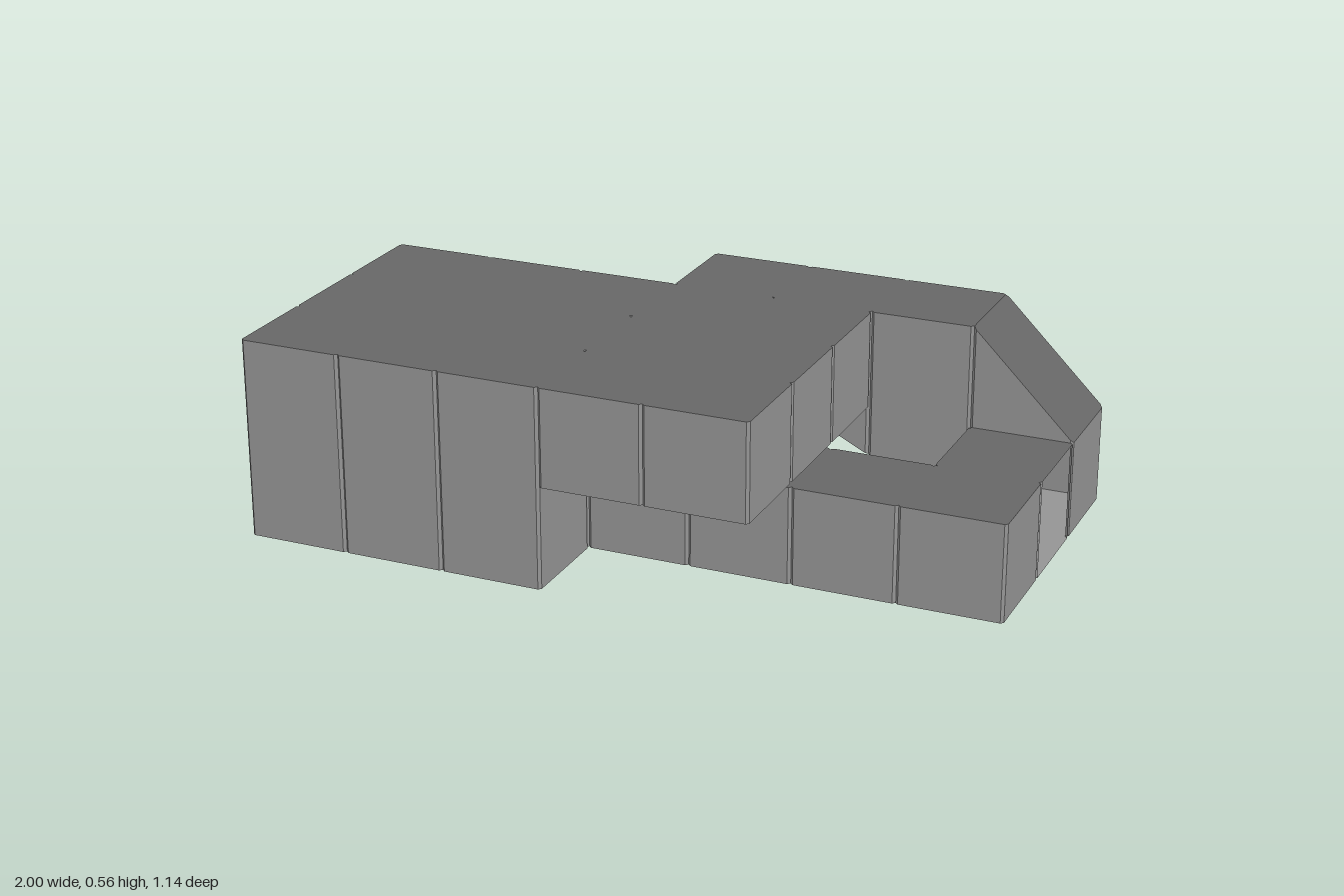
import * as THREE from 'three';

const CELL = 2 / 7, CUT = 0.0075;      // grid pitch, corner groove size
const LOW = 0.27, MID = 0.285, TOP = 0.555;
const gx = i => -1 + i * CELL;
const gz = j => (j - 2) * CELL;
const flat = y => () => y;

// Room types: bottom and top height as a function of x
const TYPES = {
  tall: { bot: flat(0), top: flat(TOP) },
  upper: { bot: flat(MID), top: flat(TOP) },
  lower: { bot: flat(0), top: flat(LOW) },
  ramp: { bot: x => MID * (gx(6) - x) / (2 * CELL), top: flat(TOP) },
  slope: { bot: flat(0), top: x => TOP - (TOP - LOW) * (x - gx(6)) / CELL },
};

// Room layout: type, columns from-to, rows from-to (row 0 at the back)
const LAYOUT = [
  ['tall', 0, 2, 1, 3],
  ['lower', 3, 6, 2, 2],
  ['lower', 6, 6, 1, 1],
  ['upper', 3, 4, 1, 3],
  ['upper', 3, 3, 0, 0],
  ['ramp', 4, 5, 0, 0],
  ['slope', 6, 6, 0, 0],
];
const SIDES = [[0, 1], [1, 0], [0, -1], [-1, 0]]; // +z, +x, -z, -x
const isDoorway = (r, s) => r.type === 'lower' && r.i === 6 && r.j === 1 && s === 1;

// Collects flat convex faces into one geometry
function faceList() {
  const pos = [];
  return {
    add(pts) {
      for (let k = 1; k < pts.length - 1; k++) {
        const t = new THREE.Triangle(pts[0], pts[k], pts[k + 1]);
        if (t.getArea() > 1e-7) for (const p of [t.a, t.b, t.c]) pos.push(p.x, p.y, p.z);
      }
    },
    mesh(name, material) {
      const g = new THREE.BufferGeometry();
      g.setAttribute('position', new THREE.Float32BufferAttribute(pos, 3));
      g.computeVertexNormals();
      const m = new THREE.Mesh(g, material);
      m.name = name;
      return m;
    },
  };
}

// Cell corners, anticlockwise from above, with the chosen corners cut off
function outline(i, j, cut) {
  const c = [[gx(i), gz(j + 1)], [gx(i + 1), gz(j + 1)], [gx(i + 1), gz(j)], [gx(i), gz(j)]];
  const toward = (a, b, d) => [a[0] + Math.sign(b[0] - a[0]) * d, a[1] + Math.sign(b[1] - a[1]) * d];
  return c.map((p, k) => {
    const d = cut[k] ? CUT : 0;
    return { before: toward(p, c[(k + 3) % 4], d), after: toward(p, c[(k + 1) % 4], d) };
  });
}

export function createModel() {
  const wallPaint = new THREE.MeshStandardMaterial({ color: 0x949494, side: THREE.DoubleSide });
  wallPaint.name = 'wall grey';
  const roofPaint = new THREE.MeshStandardMaterial({ color: 0x676767, side: THREE.DoubleSide });
  roofPaint.name = 'roof grey';

  const rooms = [];
  for (const [type, i0, i1, j0, j1] of LAYOUT)
    for (let i = i0; i <= i1; i++)
      for (let j = j0; j <= j1; j++) rooms.push({ type, i, j, ...TYPES[type] });

  const walls = faceList(), floors = faceList(), roofs = faceList(), ground = faceList();
  const at = (p, f) => new THREE.Vector3(p[0], f(p[0]), p[1]);
  const wall = (a, b, lo, hi) => walls.add([at(a, lo), at(b, lo), at(b, hi), at(a, hi)]);
  const level = (corners, f) => corners.flatMap(c => [at(c.before, f), at(c.after, f)]);

  for (const r of rooms) {
    // Height bands of each side that no neighbour covers
    const bands = SIDES.map(([dx, dz], s) => {
      const near = rooms.filter(n => n.i === r.i + dx && n.j === r.j + dz)
        .sort((a, b) => a.bot(gx(a.i)) - b.bot(gx(b.i)));
      const ends = [gx(r.i + (dx > 0 ? 1 : 0)), gx(r.i + (dx < 0 ? 0 : 1))];
      const found = [];
      let lo = r.bot;
      const keep = hi => {
        const from = lo;
        if (ends.some(x => hi(x) - from(x) > 0.001)) found.push([from, hi]);
      };
      for (const n of near) {
        keep(x => Math.min(n.bot(x), r.top(x)));
        const from = lo;
        lo = x => Math.max(from(x), n.top(x));
      }
      keep(r.top);
      return found;
    });

    const cut = SIDES.map((_, k) => bands[k].length > 0 || bands[(k + 3) % 4].length > 0);
    const corners = outline(r.i, r.j, cut);

    // Wall panels and the small angled faces that form the grooves
    corners.forEach((c, k) => {
      if (!isDoorway(r, k))
        for (const [lo, hi] of bands[k]) wall(c.after, corners[(k + 1) % 4].before, lo, hi);
      if (cut[k]) wall(c.before, c.after, r.bot, r.top);
    });

    roofs.add(level(corners, r.top));
    floors.add(level(corners, r.bot).reverse());
    // Open ground slab under the ramp
    if (r.type === 'ramp') ground.add(level(outline(r.i, r.j, [1, 1, 1, 1]), flat(0)));
  }

  const house = new THREE.Group();
  house.name = 'modularHouse';
  house.add(
    walls.mesh('wallPanels', wallPaint),
    floors.mesh('floorsAndRamp', wallPaint),
    ground.mesh('groundSlab', wallPaint),
    roofs.mesh('roofs', roofPaint),
  );
  return house;
}
